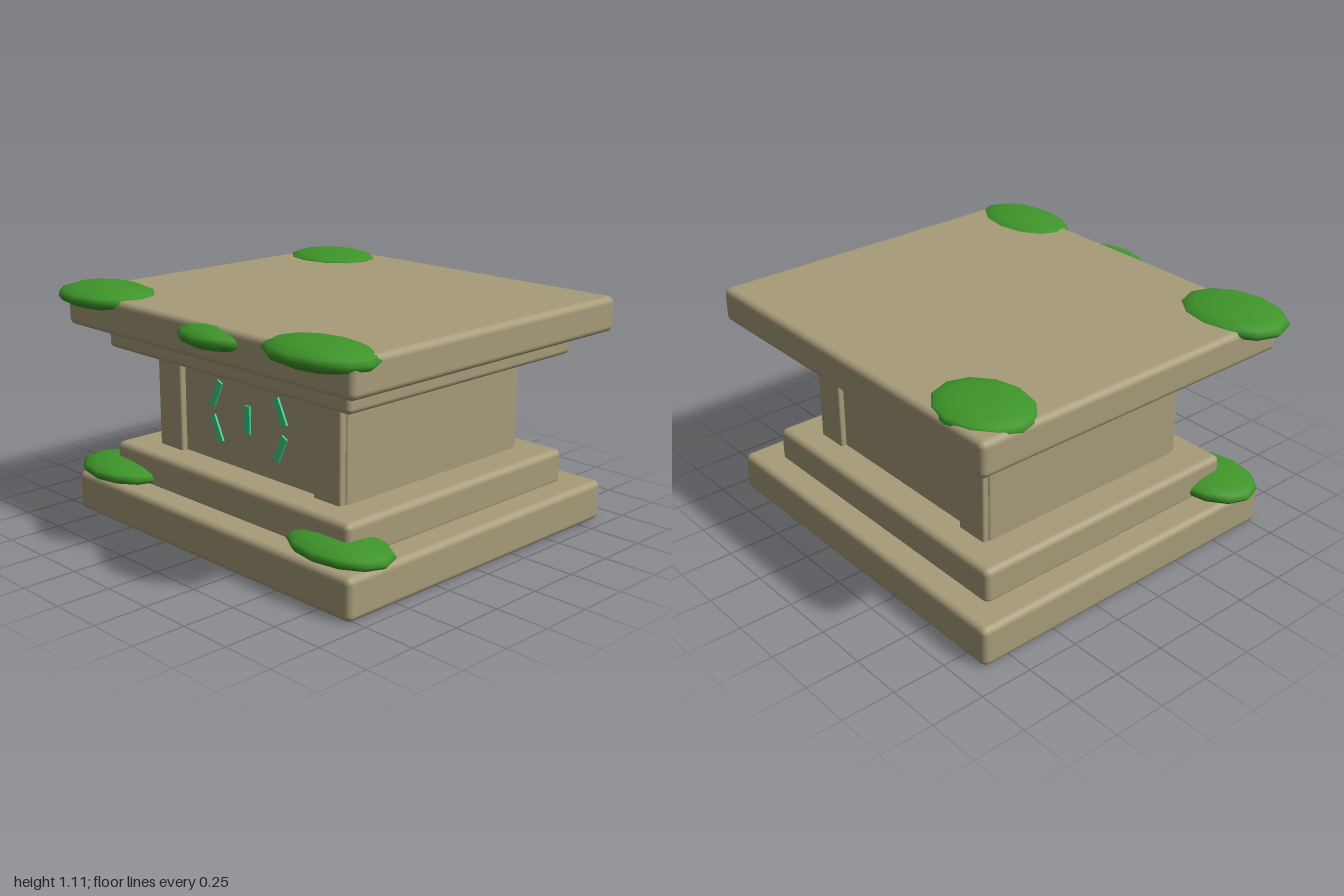
import * as THREE from 'three';
import { RoundedBoxGeometry } from 'three/addons/geometries/RoundedBoxGeometry.js';

export function createModel() {
  const group = new THREE.Group();
  group.name = 'stonePedestal';

  const material = (name, color) => {
    const m = new THREE.MeshStandardMaterial({ color });
    m.name = name;
    return m;
  };
  const stone = material('sandstone', 0xa79c7a);
  const mossGreen = material('mossGreen', 0x3f962a);
  const runeGreen = material('runeGreen', 0x3fd090);

  const add = (name, geometry, mat, x, y, z) => {
    const mesh = new THREE.Mesh(geometry, mat);
    mesh.name = name;
    mesh.position.set(x, y, z);
    group.add(mesh);
    return mesh;
  };

  // Softly bevelled block given by its bounds
  const block = (name, x0, x1, y0, y1, z0, z1, bevel) =>
    add(name, new RoundedBoxGeometry(x1 - x0, y1 - y0, z1 - z0, 3, bevel), stone,
      (x0 + x1) / 2, (y0 + y1) / 2, (z0 + z1) / 2);

  // Stepped base, core and stepped top
  block('basePlinth', -0.88, 0.945, 0, 0.19, -0.89, 0.785, 0.03);
  block('baseStep', -0.742, 0.807, 0.17, 0.342, -0.76, 0.655, 0.03);
  block('core', -0.575, 0.64, 0.31, 0.83, -0.605, 0.495, 0.012);
  block('topStep', -0.755, 0.82, 0.80, 0.93, -0.77, 0.665, 0.025);
  block('topSlab', -0.893, 0.96, 0.907, 1.07, -0.9, 0.79, 0.03);

  // Corner pilasters on the front and back faces
  for (const [z0, z1] of [[0.44, 0.525], [-0.632, -0.55]]) {
    for (const [x0, x1] of [[-0.568, -0.405], [0.47, 0.633]]) {
      block('pilaster', x0, x1, 0.31, 0.83, z0, z1, 0.01);
    }
  }

  // Glowing strokes on the front panel
  const tilt = THREE.MathUtils.degToRad(26);
  const strokes = [
    [0.03, 0.58, 0],
    [-0.18, 0.66, -tilt], [-0.18, 0.495, tilt],
    [0.243, 0.66, tilt], [0.243, 0.495, -tilt],
  ];
  for (const [x, y, angle] of strokes) {
    add('runeStroke', new THREE.BoxGeometry(0.035, 0.128, 0.02), runeGreen, x, y, 0.495).rotation.z = angle;
  }

  // Flattened moss clumps: centre, then radii
  const clumps = [
    [-0.725, 1.055, 0.68, 0.272, 0.057, 0.203],
    [0.71, 1.042, 0.71, 0.286, 0.06, 0.18],
    [0.125, 1.015, 0.73, 0.213, 0.055, 0.15],
    [-0.66, 1.06, -0.7, 0.247, 0.048, 0.2],
    [-0.7, 0.218, 0.632, 0.252, 0.054, 0.183],
    [0.725, 0.218, 0.615, 0.272, 0.052, 0.168],
  ];
  for (const [x, y, z, rx, ry, rz] of clumps) {
    add('mossClump', new THREE.SphereGeometry(1, 12, 8), mossGreen, x, y, z).scale.set(rx, ry, rz);
  }

  return group;
}
